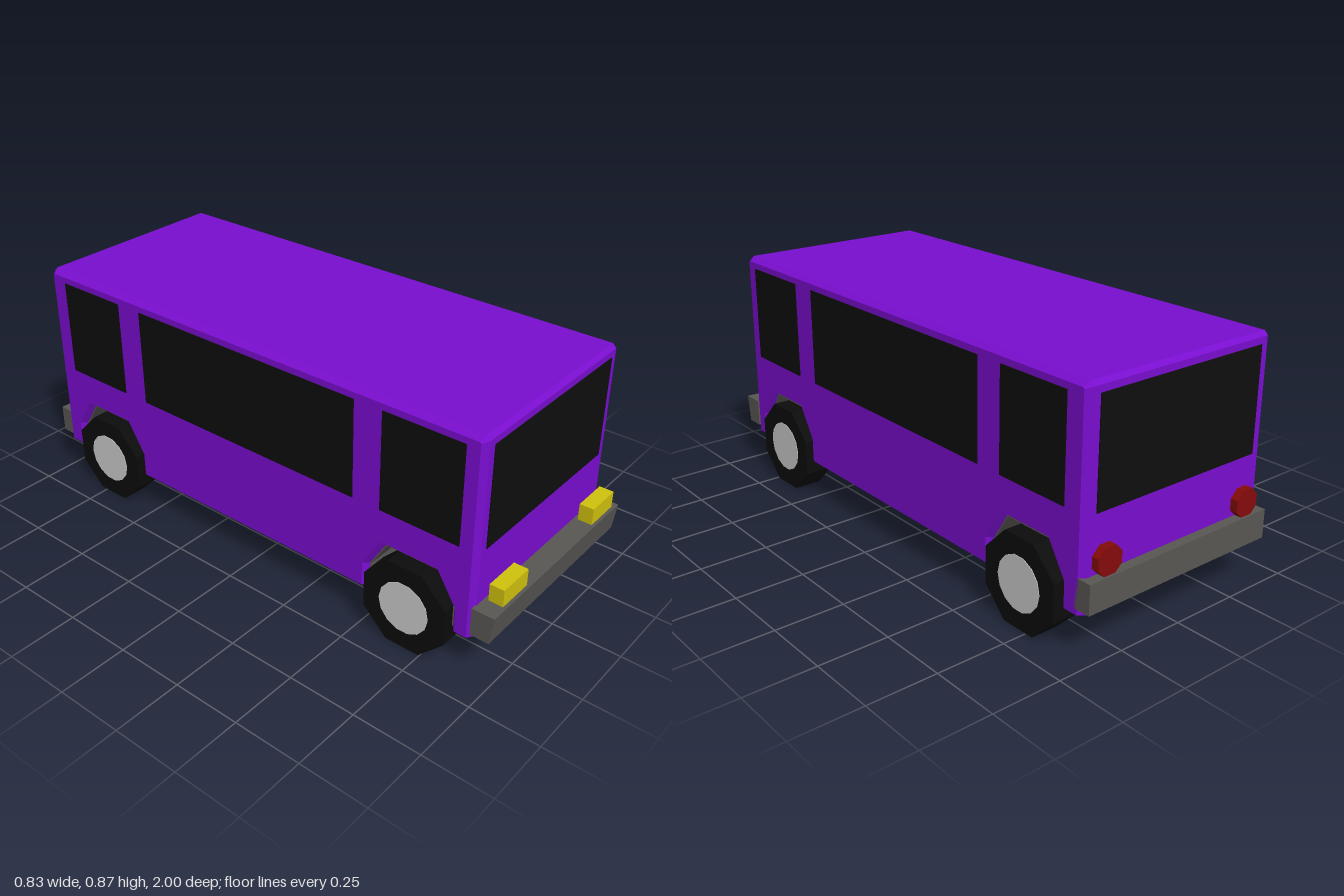
import * as THREE from 'three';

const mat = (name, color) => {
  const m = new THREE.MeshStandardMaterial({ color });
  m.name = name;
  return m;
};

// Faceted normals for low-poly parts
const flat = (g) => {
  const f = g.index ? g.toNonIndexed() : g;
  f.computeVertexNormals();
  return f;
};

// Extrude a side profile of [z, y] points across the width, centred on x = 0
const extrudeAcross = (points, width, bevel = {}) => {
  const shape = new THREE.Shape(points.map(([z, y]) => new THREE.Vector2(z, y)));
  const g = new THREE.ExtrudeGeometry(shape, { depth: width, bevelEnabled: false, ...bevel });
  g.translate(0, 0, -width / 2);
  g.rotateY(-Math.PI / 2);
  return g;
};

export function createModel() {
  const paint = mat('purple paint', 0x7a0ed0);
  const glass = mat('black glass', 0x0e0e0e);
  const rubber = mat('black rubber', 0x0c0c0c);
  const grey = mat('grey trim', 0x595754);
  const silver = mat('silver hub', 0xcccccc);
  const yellow = mat('yellow lamp', 0xd0c20e);
  const red = mat('red lamp', 0x860b0b);

  const van = new THREE.Group();
  van.name = 'van';
  const add = (name, geometry, material, x = 0, y = 0, z = 0) => {
    const mesh = new THREE.Mesh(geometry, material);
    mesh.name = name;
    mesh.position.set(x, y, z);
    van.add(mesh);
    return mesh;
  };
  const box = (w, h, d) => new THREE.BoxGeometry(w, h, d);

  const axles = [['front', 0.68], ['rear', -0.713]];
  const bottom = 0.15, top = 0.87, zFront = 0.922, zBack = -0.965, side = 0.393;

  // Wheel arch outline, from back to front; inset shrinks it
  const arch = (z, inset = 0) => [
    [z - 0.165 + inset, bottom], [z - 0.165 + inset, 0.235],
    [z - 0.1 + inset / 2, 0.34 - inset], [z + 0.1 - inset / 2, 0.34 - inset],
    [z + 0.165 - inset, 0.235], [z + 0.165 - inset, bottom],
  ];

  // Body shell with bevelled edges and open wheel arches
  const c = 0.014, bevelIn = 0.016, bevelDeep = 0.022;
  const profile = [
    [zBack, bottom], ...arch(axles[1][1]), ...arch(axles[0][1]),
    [zFront, bottom], [zFront, top - c], [zFront - c, top], [zBack + c, top], [zBack, top - c],
  ];
  const shell = extrudeAcross(profile, 2 * (side - bevelDeep), {
    bevelEnabled: true, bevelSegments: 1, bevelSize: bevelIn, bevelOffset: -bevelIn, bevelThickness: bevelDeep,
  });
  // Keep the lower edge square
  const p = shell.attributes.position;
  for (let i = 0; i < p.count; i++) if (p.getY(i) < bottom + bevelIn + 0.002) p.setY(i, bottom);
  add('body', flat(shell), paint);

  // Grey lining inside each wheel tunnel
  for (const [end, z] of axles) {
    const band = [...arch(z, -0.001), ...arch(z, 0.005).reverse()];
    add(`${end}WheelWell`, extrudeAcross(band, 2 * (side - bevelDeep)), grey);
  }

  // Wheels with octagonal tyres and round hubs on both faces
  const tyre = flat(new THREE.CylinderGeometry(0.171, 0.171, 0.105, 8, 1, false, Math.PI / 8).rotateZ(Math.PI / 2));
  const hub = flat(new THREE.CylinderGeometry(0.096, 0.096, 0.109, 14).rotateZ(Math.PI / 2));
  for (const [end, z] of axles) {
    for (const s of [1, -1]) {
      const label = `${end}${s > 0 ? 'Left' : 'Right'}`;
      add(`${label}Tyre`, tyre, rubber, s * 0.3585, 0.158, z);
      add(`${label}Hub`, hub, silver, s * 0.3585, 0.158, z);
    }
  }

  // Side windows: [name, front z, back z]
  const panes = [['frontSideWindow', 0.86, 0.563], ['middleSideWindow', 0.455, -0.493], ['rearSideWindow', -0.6, -0.885]];
  for (const [name, a, b] of panes) {
    for (const s of [1, -1]) {
      add(`${name}${s > 0 ? 'Left' : 'Right'}`, box(0.006, 0.355, a - b), glass, s * side, 0.654, (a + b) / 2);
    }
  }

  // Windscreen and rear window
  add('windscreen', box(0.688, 0.363, 0.006), glass, 0, 0.651, zFront);
  add('rearWindow', box(0.688, 0.363, 0.006), glass, 0, 0.651, zBack);

  // Bumpers
  add('frontBumper', extrudeAcross([[0.918, 0.17], [0.987, 0.17], [1, 0.272], [0.918, 0.272]], 2 * side), grey);
  add('rearBumper', box(2 * side, 0.102, 0.06), grey, 0, 0.221, -0.97);

  // Headlights and octagonal tail lights
  const tail = flat(new THREE.CylinderGeometry(0.052, 0.052, 0.03, 8, 1, false, Math.PI / 8).rotateX(Math.PI / 2));
  for (const s of [1, -1]) {
    const label = s > 0 ? 'left' : 'right';
    add(`${label}Headlight`, box(0.138, 0.062, 0.052), yellow, s * 0.275, 0.318, 0.971);
    add(`${label}TailLight`, tail, red, s * 0.306, 0.317, -0.977);
  }

  return van;
}
